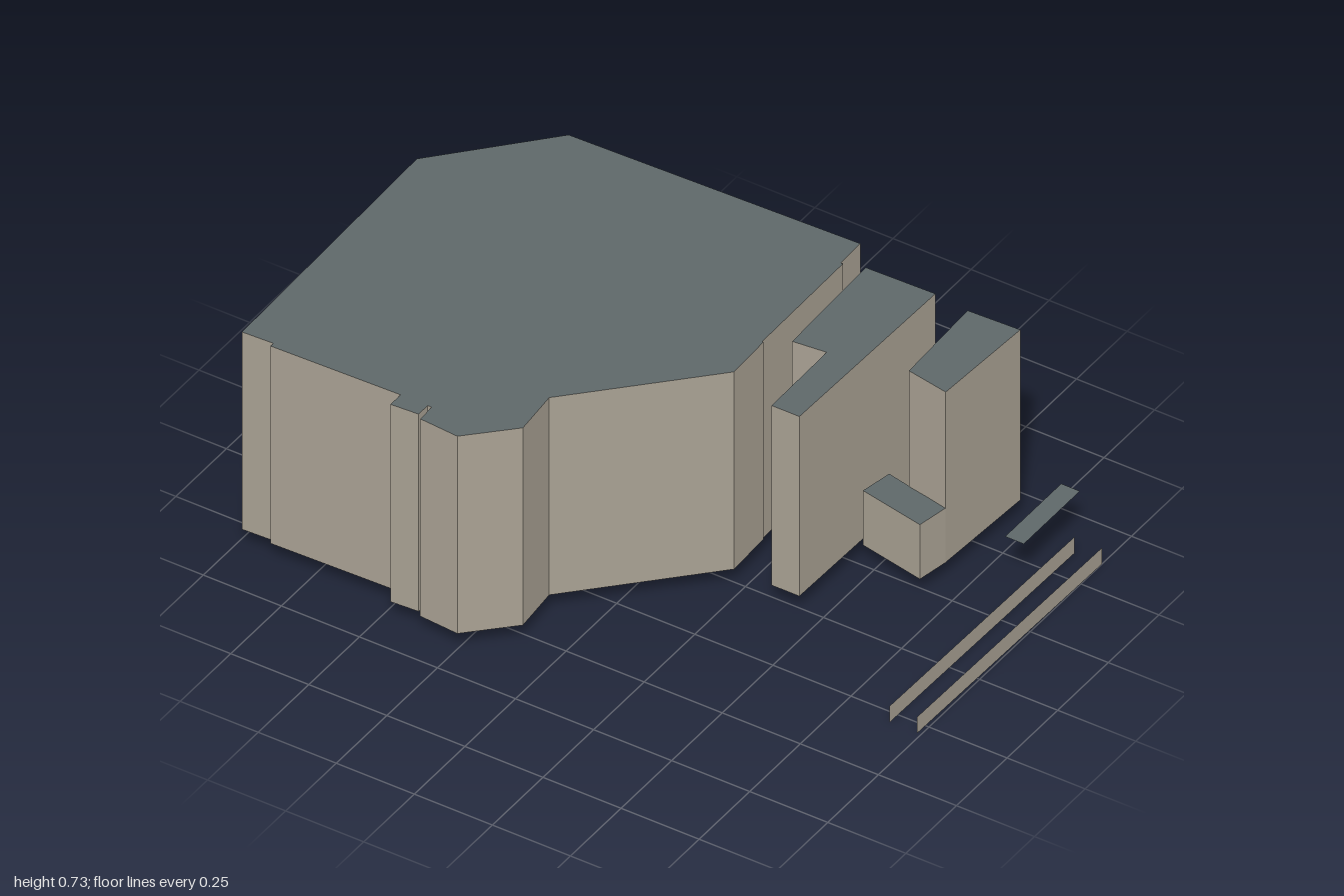
import * as THREE from 'three';
import { mergeGeometries } from 'three/addons/utils/BufferGeometryUtils.js';

const BASE = 0.06;

// Upright open wall strip following footprint points [x, z], listed clockwise from above.
function wallGeometry(points, bottom, top, closed = true) {
  const pos = [];
  const count = closed ? points.length : points.length - 1;
  for (let i = 0; i < count; i++) {
    const [ax, az] = points[i];
    const [bx, bz] = points[(i + 1) % points.length];
    pos.push(bx, bottom, bz, ax, bottom, az, ax, top, az);
    pos.push(bx, bottom, bz, ax, top, az, bx, top, bz);
  }
  const geometry = new THREE.BufferGeometry();
  geometry.setAttribute('position', new THREE.Float32BufferAttribute(pos, 3));
  geometry.computeVertexNormals();
  return geometry;
}

// Flat sheet filling a footprint.
function sheetGeometry(points, y) {
  const shape = new THREE.Shape(points.map(([x, z]) => new THREE.Vector2(x, -z)));
  return new THREE.ShapeGeometry(shape).rotateX(-Math.PI / 2).translate(0, y, 0);
}

// Grid of window panes just outside the wall from a to b.
function windowGeometry(a, b, top, columns, rows) {
  const dx = b[0] - a[0], dz = b[1] - a[1];
  const length = Math.hypot(dx, dz);
  const nx = dz / length, nz = -dx / length;
  const stepU = length / columns, stepY = (top - BASE) / rows;
  const panes = [];
  for (let c = 0; c < columns; c++) {
    const t = (c + 0.5) / columns;
    for (let r = 0; r < rows; r++) {
      panes.push(new THREE.PlaneGeometry(stepU * 0.62, stepY * 0.58)
        .rotateY(Math.atan2(nx, nz))
        .translate(a[0] + dx * t + nx * 0.003, BASE + (r + 0.5) * stepY, a[1] + dz * t + nz * 0.003));
    }
  }
  return mergeGeometries(panes);
}

export function createModel() {
  const wall = new THREE.MeshStandardMaterial({ color: 0xaaa294, side: THREE.DoubleSide });
  wall.name = 'wall';
  const roof = new THREE.MeshStandardMaterial({ color: 0x5f6869, side: THREE.DoubleSide });
  roof.name = 'roof';
  const glass = new THREE.MeshStandardMaterial({ color: 0x4a5259 });
  glass.name = 'windowGlass';

  const model = new THREE.Group();
  model.name = 'cityBlock';
  const addMesh = (parent, name, geometry, material) => {
    const mesh = new THREE.Mesh(geometry, material);
    mesh.name = name;
    parent.add(mesh);
  };

  // windows: [index of the wall's first corner, number of columns]
  const buildings = [
    {
      name: 'mainBuilding', top: 0.73, windows: [[0, 8], [1, 18]],
      points: [
        [-1, -0.305], [-0.715, -0.615], [0.203, -0.64], [0.205, -0.54], [0.212, -0.54],
        [0.216, -0.135], [0.22, -0.135], [0.225, 0.018], [-0.13, 0.383], [-0.117, 0.533],
        [-0.245, 0.66], [-0.37, 0.65], [-0.372, 0.59], [-0.385, 0.59], [-0.385, 0.635],
        [-0.472, 0.64], [-0.472, 0.59], [-0.882, 0.6], [-0.882, 0.586], [-0.98, 0.59],
      ],
    },
    {
      name: 'middleBuilding', top: 0.67, windows: [[0, 4]],
      points: [[0.23, -0.625], [0.45, -0.63], [0.437, 0.022], [0.348, 0.022], [0.345, -0.255], [0.241, -0.245]],
    },
    {
      name: 'narrowTower', top: 0.638, windows: [[0, 3]],
      points: [[0.54, -0.65], [0.705, -0.656], [0.686, -0.317], [0.552, -0.342]],
    },
    {
      name: 'lowAnnex', top: 0.245, windows: [],
      points: [[0.477, -0.36], [0.686, -0.315], [0.668, -0.217], [0.458, -0.26]],
    },
  ];

  for (const { name, top, windows, points } of buildings) {
    const group = new THREE.Group();
    group.name = name;
    model.add(group);
    addMesh(group, 'walls', wallGeometry(points, BASE, top), wall);
    addMesh(group, 'roof', sheetGeometry(points, top), roof);
    if (windows.length) {
      const grids = windows.map(([i, columns]) => windowGeometry(points[i], points[i + 1], top, columns, 10));
      addMesh(group, 'windows', mergeGeometries(grids), glass);
    }
  }

  // Thin flat canopy
  addMesh(model, 'canopy', sheetGeometry([[0.83, -0.665], [0.89, -0.665], [0.89, -0.388], [0.83, -0.388]], 0.162), roof);

  // Two long low barriers, slightly skewed
  for (const [name, x] of [['innerBarrier', 0.9], ['outerBarrier', 0.988]]) {
    addMesh(model, name, wallGeometry([[x + 0.012, -0.605], [x, 0.29]], 0, 0.055, false), wall);
  }
  return model;
}
